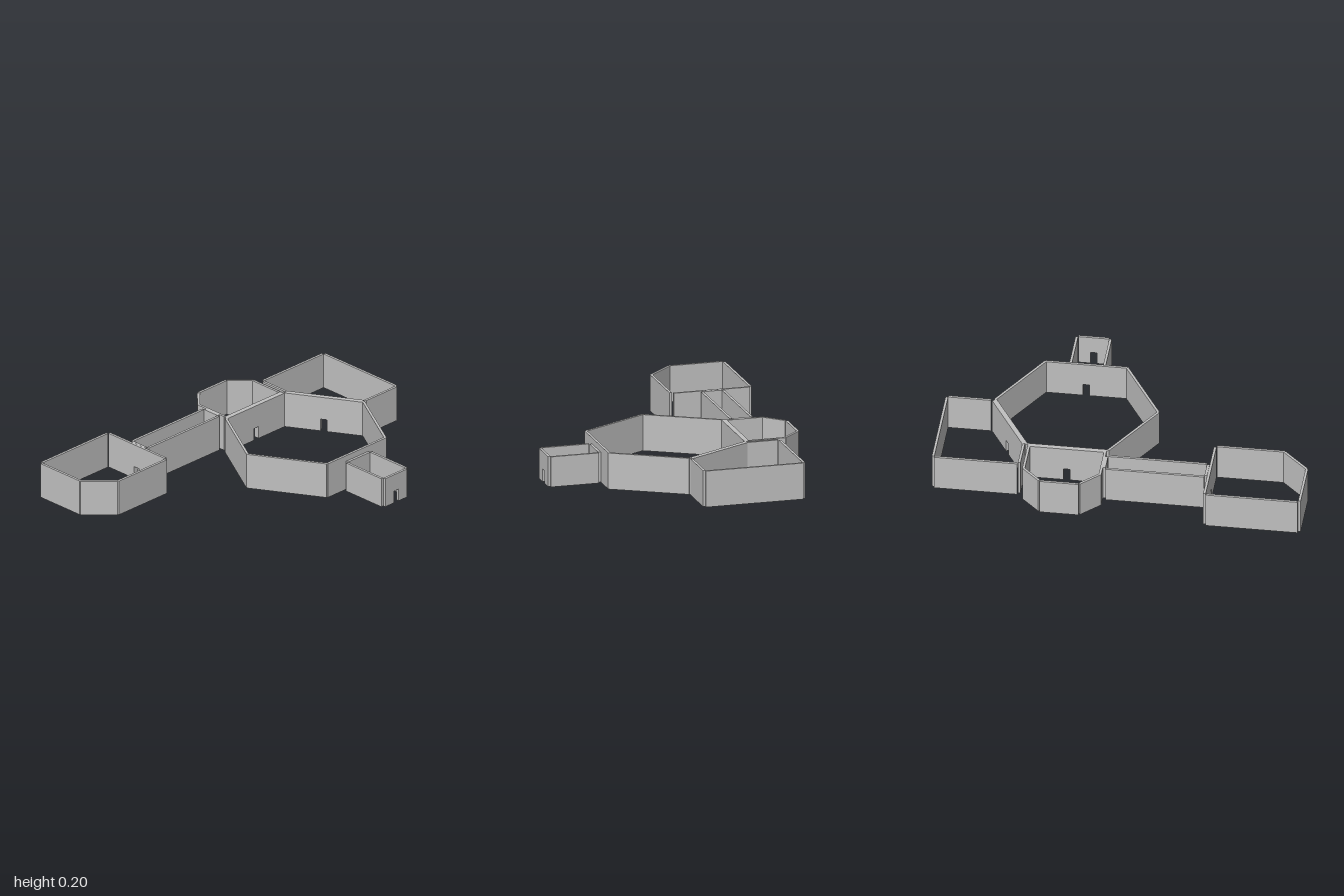
import * as THREE from 'three';

const T = 0.014;       // wall thickness
const H = 0.2;         // wall height
const DOOR_W = 0.036, DOOR_H = 0.07;

export function createModel() {
  const stone = new THREE.MeshStandardMaterial({ color: 0xc0c0c0 });
  stone.name = 'grey wall';
  const model = new THREE.Group();
  model.name = 'floorPlan';

  // Upright wall whose centre line runs from (x1, z1) to (x2, z2), with an optional doorway
  function wall(room, name, [x1, z1, x2, z2], door = false, h = H) {
    const half = Math.hypot(x2 - x1, z2 - z1) / 2, d = DOOR_W / 2;
    const shape = new THREE.Shape();
    shape.moveTo(-half, 0);
    if (door) {
      shape.lineTo(-d, 0);
      shape.lineTo(-d, DOOR_H);
      shape.lineTo(d, DOOR_H);
      shape.lineTo(d, 0);
    }
    shape.lineTo(half, 0);
    shape.lineTo(half, h);
    shape.lineTo(-half, h);
    shape.closePath();
    const geo = new THREE.ExtrudeGeometry(shape, { depth: T, bevelEnabled: false });
    geo.translate(0, 0, -T / 2);
    const mesh = new THREE.Mesh(geo, stone);
    mesh.name = name;
    mesh.position.set((x1 + x2) / 2, 0, (z1 + z2) / 2);
    mesh.rotation.y = -Math.atan2(z2 - z1, x2 - x1);
    room.add(mesh);
  }

  function room(name) {
    const g = new THREE.Group();
    g.name = name;
    model.add(g);
    return g;
  }

  // Large hexagonal hall; walls 1, 4 and 5 (front, back, back left) have doorways
  const hall = room('hexagonHall');
  const cx = 0.297, cz = 0.011;
  const hexSide = (i, apothem, half) => {
    const a = (30 + 60 * i) * Math.PI / 180;
    const nx = Math.cos(a), nz = Math.sin(a);
    const mx = cx + nx * apothem, mz = cz + nz * apothem;
    return [mx - nz * half, mz + nx * half, mx + nz * half, mz - nx * half];
  };
  for (let i = 0; i < 6; i++) {
    wall(hall, 'hallWall' + i, hexSide(i, 0.379, 0.219), i === 1 || i === 4 || i === 5);
  }

  // Entrance annex, a little lower
  const annex = room('entranceAnnex');
  wall(annex, 'annexBackWall', [0.215, 0.404, 0.38, 0.404], true, 0.167);
  wall(annex, 'annexFrontWall', [0.215, 0.684, 0.38, 0.684], true, 0.167);
  for (const x of [0.207, 0.388]) wall(annex, 'annexSideWall', [x, 0.412, x, 0.677], false, 0.167);

  // Small marker standing inside the entrance
  const marker = new THREE.Mesh(new THREE.BoxGeometry(0.006, 0.03, 0.006), stone);
  marker.name = 'marker';
  marker.position.set(0.3, 0.015, 0.55);
  annex.add(marker);

  // Rear room with two cut corners
  const rear = room('rearRoom');
  wall(rear, 'rearRoomFrontWall', [0.085, -0.382, 0.507, -0.382], true);
  wall(rear, 'rearRoomBackWall', [0.192, -0.69, 0.4, -0.69]);
  for (const s of [-1, 1]) {
    const x = 0.296 + s * 0.205;
    wall(rear, 'rearRoomSideWall', [x, -0.59, x, -0.39], s < 0);
    wall(rear, 'rearRoomCutCorner', [x, -0.588, 0.296 + s * 0.108, -0.686]);
  }

  // Side room sharing a slanted wall with the hall
  const side = room('sideRoom');
  wall(side, 'sideRoomSlantedWall', hexSide(5, 0.393, 0.213), true);
  wall(side, 'sideRoomInnerWall', [0.531, -0.54, 0.531, -0.37]);
  wall(side, 'sideRoomBackWall', [0.54, -0.549, 0.986, -0.549]);
  wall(side, 'sideRoomOuterWall', [0.993, -0.543, 0.993, -0.003]);
  wall(side, 'sideRoomFrontWall', [0.755, 0.003, 0.986, 0.003]);

  // Corridor
  const corridor = room('corridor');
  for (const z of [-0.533, -0.417]) wall(corridor, 'corridorSideWall', [-0.461, z, 0.068, z]);
  for (const x of [-0.468, 0.077]) wall(corridor, 'corridorEndWall', [x, -0.525, x, -0.425], true);

  // Far room with one cut corner; its doorway lines up with the corridor
  const far = room('farRoom');
  wall(far, 'farRoomBackWall', [-0.985, -0.693, -0.492, -0.693]);
  wall(far, 'farRoomOuterWall', [-0.993, -0.686, -0.993, -0.393]);
  wall(far, 'farRoomCutCorner', [-0.993, -0.392, -0.855, -0.254]);
  wall(far, 'farRoomFrontWall', [-0.855, -0.251, -0.492, -0.251]);
  wall(far, 'farRoomInnerWall', [-0.483, -0.687, -0.483, -0.263], true);

  return model;
}
